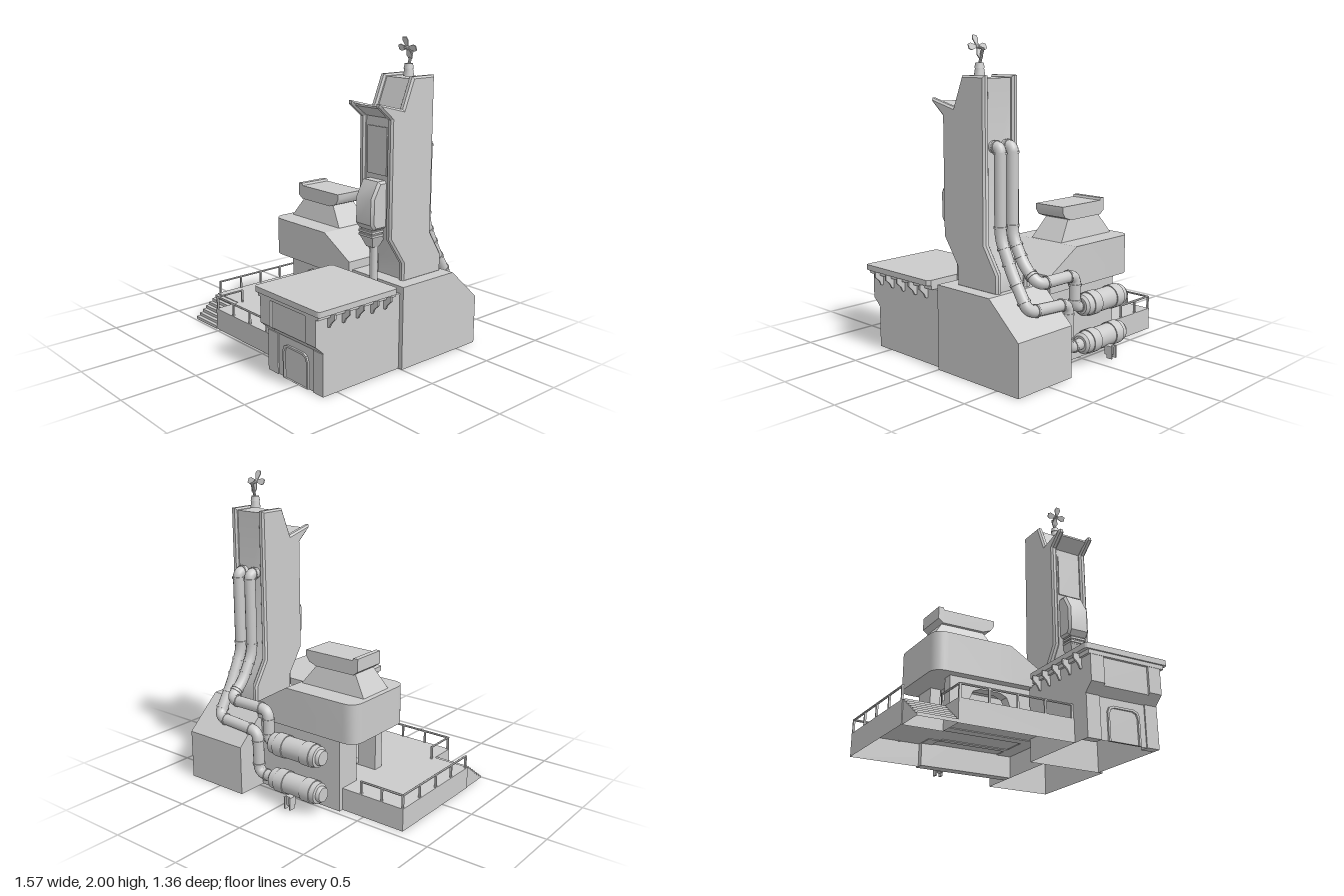
import * as THREE from 'three';
import { toCreasedNormals } from 'three/addons/utils/BufferGeometryUtils.js';

const V = (x, y, z) => new THREE.Vector3(x, y, z);
const material = new THREE.MeshStandardMaterial({ color: 0xcccccc, side: THREE.DoubleSide });

export function createModel() {
  const model = new THREE.Group();

  const add = (name, geo, parent = model) => {
    const m = new THREE.Mesh(toCreasedNormals(geo, 0.6), material);
    m.name = name;
    parent.add(m);
    return m;
  };
  const group = (name) => {
    const g = new THREE.Group();
    g.name = name;
    model.add(g);
    return g;
  };
  // box from min/max limits
  const box = (name, x0, x1, y0, y1, z0, z1, parent) =>
    add(name, new THREE.BoxGeometry(x1 - x0, y1 - y0, z1 - z0)
      .translate((x0 + x1) / 2, (y0 + y1) / 2, (z0 + z1) / 2), parent);
  const shapeOf = (pts) => new THREE.Shape(pts.map(([a, b]) => new THREE.Vector2(a, b)));
  const extrude = (shape, depth, bevel = 0) => new THREE.ExtrudeGeometry(shape, {
    depth: depth - 2 * bevel, bevelEnabled: bevel > 0, bevelSize: bevel, bevelThickness: bevel,
    bevelOffset: -bevel, bevelSegments: 1, curveSegments: 8 }).translate(0, 0, bevel);
  // [z, y] profile swept from x0 to x1
  const alongX = (pts, x0, x1, bevel) =>
    extrude(shapeOf(pts.map(([z, y]) => [-z, y])), x1 - x0, bevel).rotateY(Math.PI / 2).translate(x0, 0, 0);
  // [x, y] profile swept from z0 to z1
  const alongZ = (pts, z0, z1, bevel) => extrude(shapeOf(pts), z1 - z0, bevel).translate(0, 0, z0);
  // [x, z] plan raised from y0 to y1
  const alongY = (shape, y0, y1) => extrude(shape, y1 - y0).rotateX(Math.PI / 2).translate(0, y1, 0);
  // remove the faces lying on the ground
  const openBottom = (geo) => {
    const g = geo.index ? geo.toNonIndexed() : geo, p = g.attributes.position.array, keep = [];
    for (let i = 0; i < p.length; i += 9)
      if (Math.max(p[i + 1], p[i + 4], p[i + 7]) > 1e-4) keep.push(...p.slice(i, i + 9));
    const out = new THREE.BufferGeometry();
    out.setAttribute('position', new THREE.Float32BufferAttribute(keep, 3));
    out.computeVertexNormals();
    return out;
  };
  const rod = (name, a, b, r0, r1, parent, sides = 16) => {
    const d = b.clone().sub(a);
    const m = add(name, new THREE.CylinderGeometry(r1, r0, d.length(), sides), parent);
    m.position.copy(a).addScaledVector(d, 0.5);
    m.quaternion.setFromUnitVectors(V(0, 1, 0), d.normalize());
    return m;
  };

  // deck with a notch for the stairs
  add('deck', openBottom(alongY(shapeOf([[-0.79, -0.44], [0.3, -0.44], [0.3, 0], [0.21, 0], [0.21, 0.48],
    [-0.54, 0.48], [-0.54, 0.3], [-0.79, 0.3]]), 0, 0.145)));
  const steps = [[0.3, 0], [0.485, 0]], n = 7;
  for (let i = 0; i < n; i++) {
    const z = 0.485 - i * 0.185 / n;
    steps.push([z, (i + 1) * 0.14 / n], [z - 0.185 / n, (i + 1) * 0.14 / n]);
  }
  add('stairs', openBottom(alongX(steps, -0.785, -0.54)));

  // railings
  const railing = group('railing');
  const rail = (x0, z0, x1, z1, posts) => {
    const a = V(x0, 0.228, z0), b = V(x1, 0.228, z1);
    rod('handrail', a, b, 0.007, 0.007, railing, 6);
    for (let i = 0; i <= posts; i++) {
      const p = a.clone().lerp(b, i / posts);
      box('railPost', p.x - 0.006, p.x + 0.006, 0.14, 0.232, p.z - 0.006, p.z + 0.006, railing);
    }
  };
  rail(-0.53, 0.473, 0.2, 0.473, 4);
  rail(-0.783, -0.433, -0.783, 0.28, 4);
  rail(-0.783, -0.433, -0.48, -0.433, 2);
  rail(-0.532, 0.27, -0.532, 0.473, 1);

  // main hall: ground floor walls with openings
  const arch = (x0, x1, y0, y1, c) => [[x0, y0], [x1, y0], [x1, y1 - c], [x1 - c * 0.3, y1 - c * 0.3],
    [x1 - c, y1], [x0 + c, y1], [x0 + c * 0.3, y1 - c * 0.3], [x0, y1 - c]];
  const front = shapeOf([[-0.34, 0.14], [0.3, 0.14], [0.3, 0.48], [-0.34, 0.48]]);
  front.holes.push(new THREE.Path(shapeOf(arch(-0.2, 0.08, 0.15, 0.42, 0.07)).getPoints()));
  const hall = group('hall');
  add('frontWall', extrude(front, 0.07).translate(0, 0, -0.1), hall);
  box('innerWall', -0.26, 0.28, 0.14, 0.48, -0.31, -0.27, hall);
  box('backWall', -0.34, 0.3, 0, 0.48, -0.47, -0.4, hall);
  box('sideWall', 0.2, 0.3, 0.14, 0.48, -0.42, -0.08, hall);
  box('backPier', -0.34, -0.27, 0.14, 0.48, -0.42, -0.3, hall);

  // main hall: rounded upper storey and its sloping end
  const plan = new THREE.Shape();
  plan.moveTo(0.06, -0.5).lineTo(-0.385, -0.5).quadraticCurveTo(-0.475, -0.5, -0.475, -0.41)
    .lineTo(-0.475, -0.06).quadraticCurveTo(-0.475, 0.03, -0.385, 0.03).lineTo(0.06, 0.03);
  add('upperStorey', alongY(plan, 0.475, 0.727), hall);
  add('slopingEnd', alongZ([[0.06, 0.475], [0.3, 0.475], [0.3, 0.585], [0.06, 0.727]], -0.5, 0.03), hall);

  // roof vent: tapered base and flared cap
  const taper = new THREE.BoxGeometry(1, 1, 1), tp = taper.attributes.position;
  for (let i = 0; i < tp.count; i++) {
    const top = tp.getY(i) > 0, right = tp.getX(i) > 0;
    tp.setXYZ(i, top ? (right ? -0.06 : -0.345) : (right ? 0.05 : -0.445), top ? 0.865 : 0.72,
      -0.237 + Math.sign(tp.getZ(i)) * (top ? 0.09 : 0.127));
  }
  taper.computeVertexNormals();
  add('ventBase', taper, hall);
  add('ventCap', alongZ([[-0.35, 0.855], [-0.06, 0.855], [-0.005, 0.875], [0.018, 0.91], [0.018, 0.947],
    [-0.345, 0.947], [-0.352, 0.962], [-0.385, 0.962], [-0.385, 0.88]], -0.35, -0.122), hall);

  // rear block carrying the tower
  add('rearBlock', openBottom(alongX([[0, 0], [0, 0.53], [-0.44, 0.53], [-0.67, 0.32], [-0.67, 0]], 0.3, 0.75)));

  // front house with overhanging upper wall
  const house = group('house');
  add('houseBody', openBottom(alongX([[0, 0], [0.6, 0], [0.6, 0.26], [0.65, 0.31], [0.65, 0.515],
    [0.06, 0.515], [0.06, 0.485], [0, 0.485]], 0.21, 0.72)), house);
  for (const [a, b] of [[0.21, 0.305], [0.63, 0.72]]) {
    add('upperPilaster', alongX([[0.59, 0.255], [0.665, 0.32], [0.665, 0.515], [0.59, 0.515]], a, b), house);
    box('lowerPilaster', a, b, 0, 0.262, 0.55, 0.608, house);
  }
  box('cornice', 0.195, 0.745, 0.485, 0.515, 0.06, 0.668, house);
  const roof = new THREE.Shape();
  roof.moveTo(0.19, 0.06).lineTo(0.75, 0.06).lineTo(0.77, 0.08).lineTo(0.77, 0.655)
    .quadraticCurveTo(0.77, 0.68, 0.745, 0.68).lineTo(0.195, 0.68).quadraticCurveTo(0.17, 0.68, 0.17, 0.655).lineTo(0.17, 0.08);
  add('roofSlab', alongY(roof, 0.51, 0.545), house);
  const bracket = [[0.7, 0.51], [0.7, 0.42], [0.735, 0.42], [0.75, 0.45], [0.782, 0.48], [0.782, 0.51]];
  for (const z of [0.13, 0.235, 0.35, 0.46, 0.57]) {
    add('rightBracket', alongZ(bracket, z - 0.006, z + 0.006), house);
    add('leftBracket', alongZ(bracket.map(([x, y]) => [0.935 - x, y]).reverse(), z - 0.006, z + 0.006), house);
  }
  const frame = shapeOf(arch(0.355, 0.585, 0, 0.215, 0.04));
  frame.holes.push(new THREE.Path(shapeOf(arch(0.368, 0.572, 0.001, 0.202, 0.036)).getPoints()));
  add('doorFrame', extrude(frame, 0.015).translate(0, 0, 0.597), house);

  // tower: side plates around a slightly inset core
  const tower = group('tower');
  const plate = [[-0.08, 0.52], [-0.08, 0.64], [0.035, 0.81], [0.035, 1.53], [0.13, 1.61], [0.13, 1.632],
    [-0.06, 1.585], [-0.135, 1.77], [-0.32, 1.77], [-0.32, 0.8], [-0.42, 0.64], [-0.42, 0.52]];
  for (const x of [0.385, 0.62]) add('sidePlate', alongX(plate, x, x + 0.045, 0.012), tower);
  add('core', alongX([[-0.1, 0.52], [-0.1, 0.645], [0.015, 0.815], [0.015, 1.535], [0.105, 1.6], [0.105, 1.612],
    [-0.075, 1.565], [-0.15, 1.755], [-0.3, 1.755], [-0.3, 0.805], [-0.4, 0.645], [-0.4, 0.52]], 0.42, 0.63), tower);
  box('frontPanel', 0.445, 0.61, 1.19, 1.48, 0, 0.023, tower);

  // pod on the tower front with its feed pipe
  const pod = group('pod');
  add('podShell', alongX([[0, 0.865], [0.1, 0.865], [0.126, 0.9], [0.126, 1.06], [0.07, 1.16], [0, 1.16]], 0.45, 0.605, 0.015), pod);
  for (const y of [0.818, 0.842]) box('podCollar', 0.468, 0.588, y, y + 0.014, 0, 0.11, pod);
  const funnel = new THREE.CylinderGeometry(0.082, 0.04, 0.075, 4, 1).rotateY(Math.PI / 4).translate(0.527, 0.785, 0.045);
  add('podFunnel', funnel, pod);
  box('podNeck', 0.48, 0.576, 0.81, 0.87, 0, 0.1, pod);
  rod('podPipe', V(0.527, 0.48, 0.035), V(0.527, 0.77, 0.035), 0.025, 0.025, pod);

  // four-bladed antenna
  const antenna = group('antenna');
  rod('antennaBase', V(0.57, 1.765, -0.19), V(0.57, 1.81, -0.19), 0.033, 0.026, antenna);
  rod('antennaCollar', V(0.57, 1.81, -0.19), V(0.57, 1.84, -0.19), 0.03, 0.024, antenna);
  rod('mast', V(0.57, 1.83, -0.19), V(0.57, 1.925, -0.22), 0.009, 0.009, antenna, 8);
  rod('mastArm', V(0.57, 1.92, -0.22), V(0.57, 1.935, -0.155), 0.008, 0.008, antenna, 8);
  const rotor = new THREE.Group();
  rotor.name = 'rotor';
  rotor.position.set(0.572, 1.932, -0.175);
  rotor.rotation.x = 0.4;
  antenna.add(rotor);
  for (let i = 0; i < 4; i++) {
    const blade = add('blade', alongZ([[-0.006, 0], [0.006, 0], [0.022, 0.05], [0.014, 0.07], [-0.014, 0.07], [-0.022, 0.05]], -0.003, 0.003), rotor);
    blade.rotation.z = i * Math.PI / 2;
  }
  add('hub', new THREE.SphereGeometry(0.014, 10, 8), rotor);

  // rear pipes with rounded bends and collars
  const pipes = group('rearPipes');
  const pipe = (pts, r, bend) => {
    const path = new THREE.CurvePath();
    let last = pts[0];
    for (let i = 1; i < pts.length; i++) {
      const p = pts[i], q = pts[i + 1], dir = p.clone().sub(last).normalize();
      if (!q) { path.add(new THREE.LineCurve3(last, p)); break; }
      const c = Math.min(bend, p.distanceTo(pts[i - 1]) * 0.45, p.distanceTo(q) * 0.45);
      const a = p.clone().addScaledVector(dir, -c);
      const b = p.clone().addScaledVector(q.clone().sub(p).normalize(), c);
      path.add(new THREE.LineCurve3(last, a));
      path.add(new THREE.QuadraticBezierCurve3(a, p, b));
      const out = q.clone().sub(p).normalize();
      rod('pipeCollar', a.clone().addScaledVector(dir, -0.008), a.clone().addScaledVector(dir, 0.004), r + 0.005, r + 0.005, pipes);
      rod('pipeCollar', b.clone().addScaledVector(out, -0.004), b.clone().addScaledVector(out, 0.008), r + 0.005, r + 0.005, pipes);
      last = b;
    }
    add('pipe', new THREE.TubeGeometry(path, 160, r, 14), pipes);
  };
  pipe([V(0.475, 1.365, -0.29), V(0.475, 1.365, -0.36), V(0.475, 0.84, -0.36), V(0.475, 0.67, -0.455),
    V(0.475, 0.58, -0.565), V(0.15, 0.58, -0.565), V(0.15, 0.38, -0.565), V(0.06, 0.38, -0.57)], 0.036, 0.06);
  pipe([V(0.575, 1.365, -0.29), V(0.575, 1.365, -0.36), V(0.575, 0.84, -0.36), V(0.575, 0.64, -0.455),
    V(0.575, 0.44, -0.58), V(0.23, 0.42, -0.58), V(0.23, 0.14, -0.575), V(0.06, 0.14, -0.575)], 0.036, 0.06);

  // two stacked tanks
  const tankProfile = [[0, -0.3], [0.045, -0.3], [0.05, -0.29], [0.05, -0.275], [0.066, -0.27], [0.069, -0.235], [0.075, -0.235],
    [0.075, -0.165], [0.069, -0.165], [0.069, -0.02], [0.075, -0.02], [0.075, 0.05], [0.069, 0.05], [0.066, 0.095], [0.05, 0.11], [0, 0.11]];
  for (const y of [0.38, 0.14]) {
    const lathe = new THREE.LatheGeometry(tankProfile.map(([r, h]) => new THREE.Vector2(r, h)), 28).rotateZ(-Math.PI / 2);
    add('tank', lathe.translate(0, y, -0.575), pipes);
  }
  box('tankValve', -0.115, -0.075, 0.04, 0.1, -0.665, -0.62, pipes);
  for (const x of [-0.12, -0.08]) box('valveLever', x, x + 0.01, 0.02, 0.1, -0.68, -0.64, pipes);

  return model;
}
